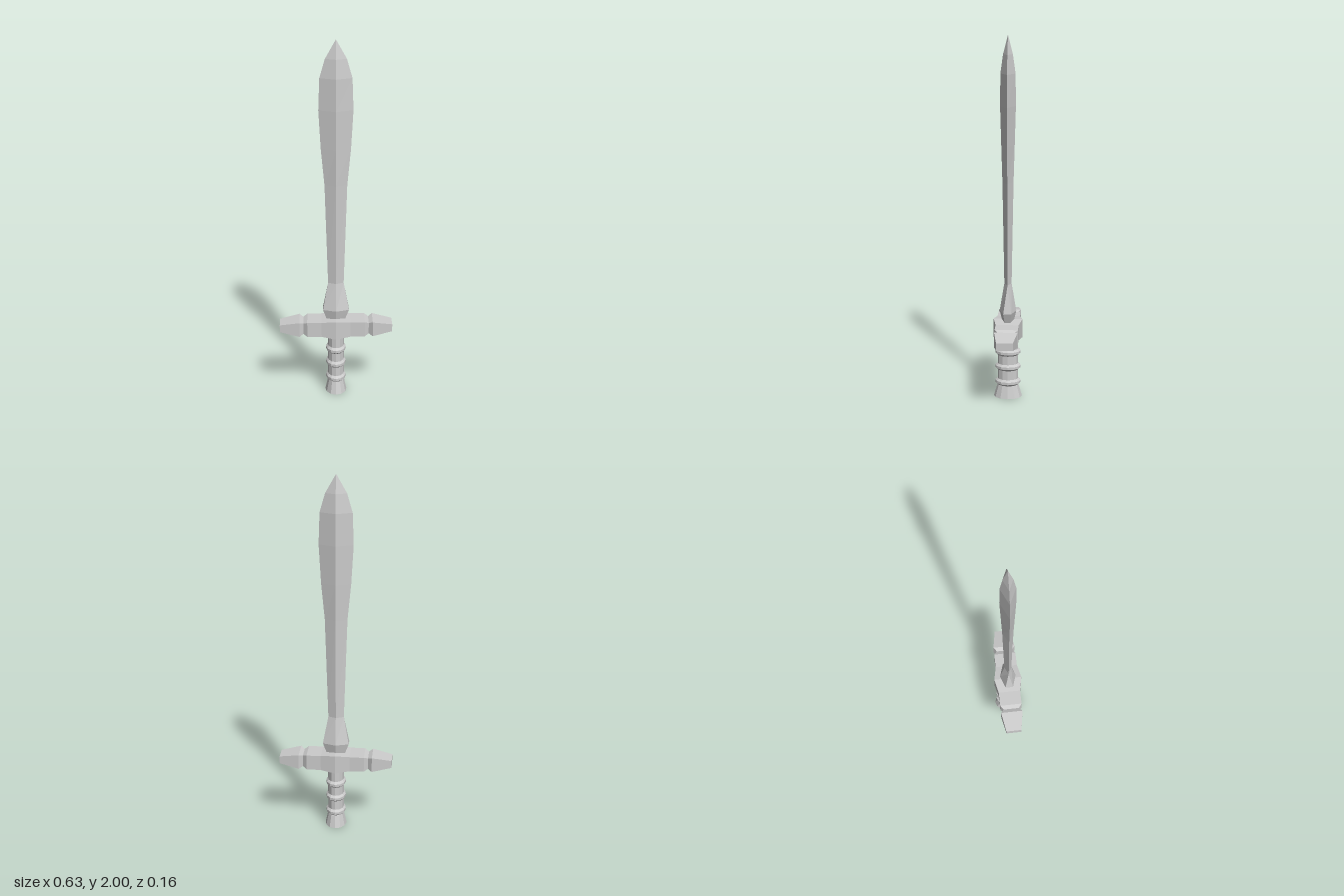
import * as THREE from 'three';

const material = new THREE.MeshStandardMaterial({ color: 0xcccccc, flatShading: true });

// Skins a list of rings (arrays of Vector3) and caps both ends.
function loft(name, rings) {
  const positions = [];
  const tri = (a, b, c) => {
    const t = new THREE.Triangle(a, b, c);
    if (t.getArea() > 1e-8) for (const p of [a, b, c]) positions.push(p.x, p.y, p.z);
  };
  const n = rings[0].length;
  for (let i = 0; i < rings.length - 1; i++) {
    const lower = rings[i], upper = rings[i + 1];
    for (let j = 0; j < n; j++) {
      const k = (j + 1) % n;
      tri(lower[j], upper[j], lower[k]);
      tri(lower[k], upper[j], upper[k]);
    }
  }
  const first = rings[0], last = rings[rings.length - 1];
  for (let j = 1; j < n - 1; j++) {
    tri(first[0], first[j], first[j + 1]);
    tri(last[0], last[j + 1], last[j]);
  }
  const geometry = new THREE.BufferGeometry();
  geometry.setAttribute('position', new THREE.Float32BufferAttribute(positions, 3));
  geometry.computeVertexNormals();
  const mesh = new THREE.Mesh(geometry, material);
  mesh.name = name;
  return mesh;
}

const v = (x, y, z) => new THREE.Vector3(x, y, z);

// Leaf-shaped blade: diamond section, with a blunt six-sided flare at its root.
function makeBlade() {
  // height, half width, half depth at the ridge, half thickness of the edge
  const sections = [
    [0.43, 0.047, 0.03, 0.014],
    [0.5, 0.072, 0.046, 0.022],
    [0.655, 0.043, 0.02, 0],
    [1.22, 0.061, 0.03, 0],
    [1.42, 0.08, 0.036, 0],
    [1.63, 0.092, 0.042, 0],
    [1.8, 0.086, 0.04, 0],
    [1.9, 0.057, 0.026, 0],
    [2, 0, 0, 0],
  ];
  return loft('blade', sections.map(([y, w, d, e]) => [
    v(w, y, e), v(0, y, d), v(-w, y, e), v(-w, y, -e), v(0, y, -d), v(w, y, -e),
  ]));
}

// Crossguard: a mirrored bar with a raised middle, notches and tapered ends.
function makeGuard() {
  // distance from the middle, half height, half depth
  const half = [
    [0, 0.053, 0.08],
    [0.08, 0.043, 0.063],
    [0.16, 0.042, 0.063],
    [0.182, 0.032, 0.045],
    [0.204, 0.042, 0.063],
    [0.313, 0.021, 0.044],
  ];
  const mirrored = half.slice(1).reverse().map(([x, h, d]) => [-x, h, d]);
  const guard = loft('crossguard', [...mirrored, ...half].map(([x, h, d]) => [
    v(x, -h, d), v(x, h, d), v(x, h, -d), v(x, -h, -d),
  ]));
  guard.position.y = 0.398;
  return guard;
}

// Oval grip with a flared pommel and three raised bands.
function makeGrip() {
  // height, half width, half depth
  const sections = [[0, 0.06, 0.079], [0.068, 0.045, 0.059]];
  for (const y of [0.088, 0.177, 0.263]) {
    sections.push(
      [y - 0.018, 0.045, 0.057], [y - 0.007, 0.055, 0.071],
      [y + 0.007, 0.055, 0.071], [y + 0.018, 0.045, 0.057],
    );
  }
  sections.push([0.37, 0.045, 0.057]);
  const sides = 12;
  return loft('grip', sections.map(([y, w, d]) => Array.from({ length: sides }, (_, i) => {
    const a = (i / sides) * Math.PI * 2;
    return v(w * Math.cos(a), y, d * Math.sin(a));
  })));
}

export function createModel() {
  const sword = new THREE.Group();
  sword.name = 'sword';
  sword.add(makeBlade(), makeGuard(), makeGrip());
  return sword;
}
